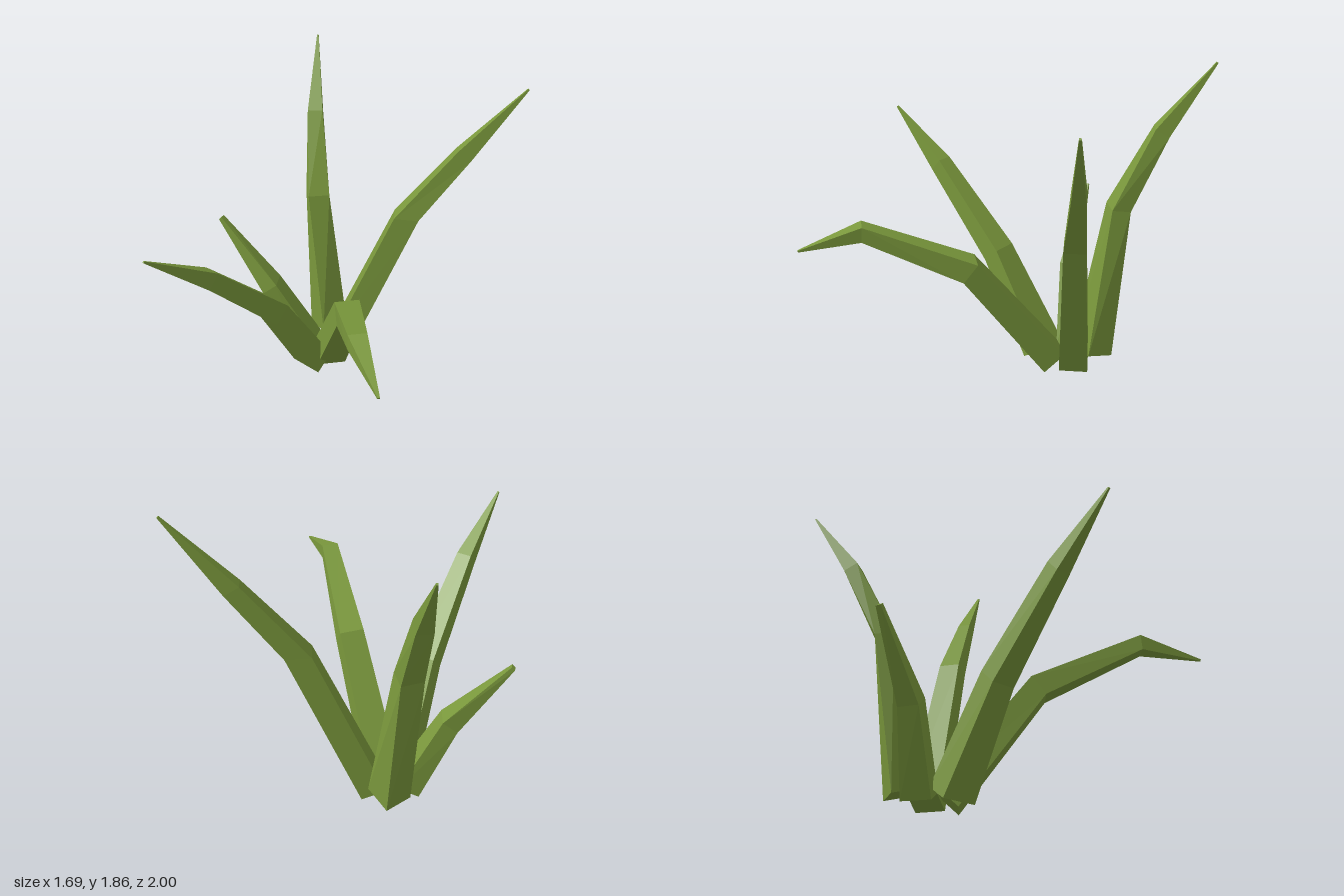
import * as THREE from 'three';

const leafGreen = new THREE.MeshStandardMaterial({ color: 0x7a983c });
leafGreen.name = 'leafGreen';
leafGreen.flatShading = true;

// Each section: x, y, z of its centre, width, thickness, heading and pitch in degrees
const LEAVES = {
  tallRightLeaf: [
    [-0.115, 0.07, -0.41, 0.17, 0.15, -20, 68],
    [0.255, 1.03, -0.535, 0.12, 0.145, -20, 88],
    [0.545, 1.45, -0.655, 0.075, 0.095, -20, 58],
    [0.84, 1.855, -0.763, 0.012, 0.01, -20, 50],
  ],
  tallBackLeaf: [
    [-0.235, 0.105, -0.48, 0.175, 0.175, -145, 75],
    [-0.355, 1.02, -0.56, 0.13, 0.11, -125, 82],
    [-0.465, 1.475, -0.75, 0.09, 0.09, -113, 60],
    [-0.573, 1.867, -0.997, 0.01, 0.01, -113, 55],
  ],
  frontLeaf: [
    [-0.2, 0.055, -0.17, 0.21, 0.15, 105, 55],
    [-0.275, 0.61, 0.17, 0.145, 0.13, 105, 46],
    [-0.395, 1.075, 0.63, 0.09, 0.1, 105, 40],
    [-0.506, 1.362, 0.997, 0.01, 0.01, 105, 38],
  ],
  droopingLeaf: [
    [-0.12, 0.06, -0.26, 0.18, 0.16, 54, 48],
    [0.19, 0.72, 0.13, 0.145, 0.135, 54, 38],
    [0.485, 0.975, 0.645, 0.1, 0.09, 54, 4],
    [0.72, 0.902, 0.908, 0.012, 0.01, 54, -18],
  ],
  shortLeftLeaf: [
    [-0.295, 0.05, -0.315, 0.17, 0.14, 158, 60],
    [-0.51, 0.49, -0.215, 0.12, 0.11, 163, 50],
    [-0.835, 0.916, -0.182, 0.032, 0.025, 175, 50],
  ],
};

// Four-sided blade lofted through its sections, closed at both ends
function makeLeaf(name, sections) {
  const pos = [], index = [];
  for (const [x, y, z, w, t, heading, pitch] of sections) {
    const a = THREE.MathUtils.degToRad(heading), p = THREE.MathUtils.degToRad(pitch);
    const dx = Math.cos(a), dz = Math.sin(a);
    const side = new THREE.Vector3(dz, 0, -dx).multiplyScalar(w / 2);
    const up = new THREE.Vector3(-Math.sin(p) * dx, Math.cos(p), -Math.sin(p) * dz).multiplyScalar(t / 2);
    for (const [s, u] of [[1, 1], [-1, 1], [-1, -1], [1, -1]]) {
      const v = new THREE.Vector3(x, y, z).addScaledVector(side, s).addScaledVector(up, u);
      pos.push(v.x, v.y, v.z);
    }
  }
  const quad = (a, b, c, d) => index.push(a, b, c, a, c, d);
  const last = (sections.length - 1) * 4;
  for (let i = 0; i < last; i += 4) {
    for (let j = 0; j < 4; j++) {
      const k = (j + 1) % 4;
      quad(i + j, i + k, i + 4 + k, i + 4 + j);
    }
  }
  quad(3, 2, 1, 0);
  quad(last, last + 1, last + 2, last + 3);

  const indexed = new THREE.BufferGeometry();
  indexed.setAttribute('position', new THREE.Float32BufferAttribute(pos, 3));
  indexed.setIndex(index);
  const geometry = indexed.toNonIndexed();
  geometry.computeVertexNormals();
  const mesh = new THREE.Mesh(geometry, leafGreen);
  mesh.name = name;
  return mesh;
}

export function createModel() {
  const plant = new THREE.Group();
  plant.name = 'plant';
  for (const [name, sections] of Object.entries(LEAVES)) plant.add(makeLeaf(name, sections));
  return plant;
}
